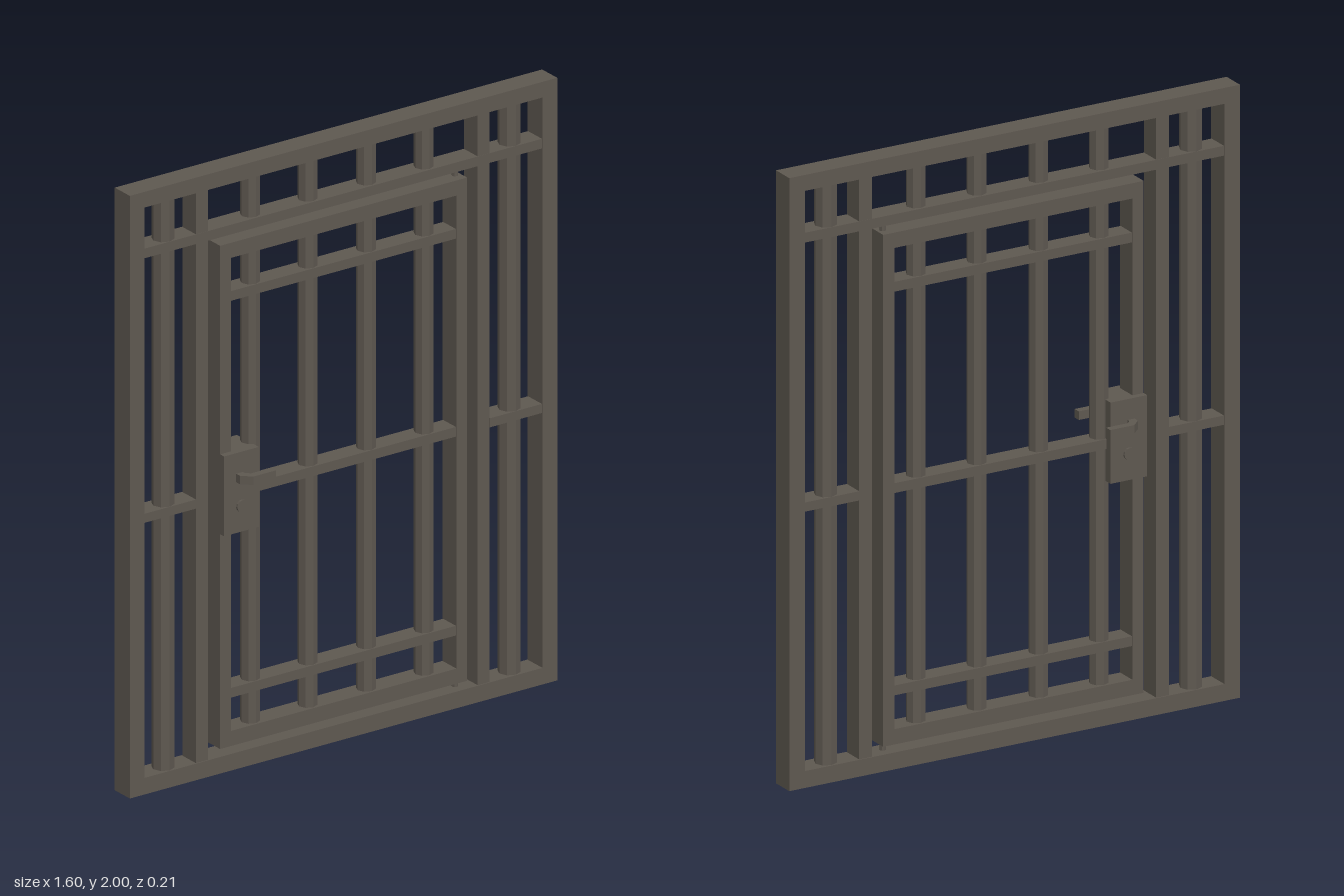
import * as THREE from 'three';

export function createModel() {
  const model = new THREE.Group();
  model.name = 'barredGate';
  const steel = new THREE.MeshStandardMaterial({ color: 0x5e5850, flatShading: true });

  const add = (parent, name, geometry, x = 0, y = 0, z = 0) => {
    const mesh = new THREE.Mesh(geometry, steel);
    mesh.name = name;
    mesh.position.set(x, y, z);
    parent.add(mesh);
    return mesh;
  };
  // Box from its x and y limits and half depth
  const bar = (parent, name, x0, x1, y0, y1, d) =>
    add(parent, name, new THREE.BoxGeometry(x1 - x0, y1 - y0, 2 * d), (x0 + x1) / 2, (y0 + y1) / 2);
  // Upright eight-sided rod
  const rod = (parent, name, x, y0, y1, r) =>
    add(parent, name, new THREE.CylinderGeometry(r, r, y1 - y0, 8), x, (y0 + y1) / 2);
  const group = (name) => {
    const g = new THREE.Group();
    g.name = name;
    model.add(g);
    return g;
  };
  const rodXs = [-0.322, -0.107, 0.112, 0.328];

  // Fixed outer frame
  const frame = group('outerFrame');
  bar(frame, 'topBeam', -0.8, 0.8, 1.948, 2, 0.04);
  bar(frame, 'bottomBeam', -0.8, 0.8, 0, 0.055, 0.04);
  bar(frame, 'upperRail', -0.745, 0.745, 1.778, 1.81, 0.037);
  for (const s of [-1, 1]) {
    const span = (a, b) => (s > 0 ? [a, b] : [-b, -a]);
    bar(frame, 'sidePost', ...span(0.745, 0.8), 0.055, 1.948, 0.04);
    bar(frame, 'innerPost', ...span(0.505, 0.55), 0.055, 1.948, 0.036);
    bar(frame, 'sideMiddleRail', ...span(0.55, 0.745), 0.9, 0.93, 0.037);
    rod(frame, 'sideRod', s * 0.648, 0.055, 1.948, 0.036);
  }
  for (const x of rodXs) rod(frame, 'upperRod', x, 1.81, 1.948, 0.031);

  // Hinged door
  const door = group('door');
  bar(door, 'doorTop', -0.46, 0.465, 1.7, 1.75, 0.037);
  bar(door, 'doorBottom', -0.46, 0.465, 0.08, 0.13, 0.037);
  bar(door, 'latchStile', -0.46, -0.42, 0.13, 1.7, 0.037);
  bar(door, 'hingeStile', 0.425, 0.465, 0.13, 1.7, 0.037);
  for (const y of [0.255, 0.915, 1.572]) bar(door, 'doorRail', -0.42, 0.425, y - 0.016, y + 0.016, 0.034);
  for (const x of rodXs) rod(door, 'doorRod', x, 0.13, 1.7, 0.031);
  // Pivot pins above and below the door
  rod(door, 'upperHingePin', 0.445, 1.74, 1.78, 0.01);
  rod(door, 'lowerHingePin', 0.445, 0.05, 0.09, 0.01);

  // Lock case with a bent lever and a key cylinder on each face
  const lock = group('lock');
  bar(lock, 'lockCase', -0.46, -0.33, 0.793, 1.058, 0.058);
  const profile = new THREE.Shape([
    [-0.415, 0.05], [-0.415, 0.078], [-0.385, 0.107], [-0.3, 0.107],
    [-0.3, 0.082], [-0.376, 0.082], [-0.39, 0.069], [-0.39, 0.05],
  ].map(([x, z]) => new THREE.Vector2(x, z)));
  const lever = new THREE.ExtrudeGeometry(profile, { depth: 0.028, bevelEnabled: false });
  lever.translate(0, 0, -0.014).rotateX(Math.PI / 2);
  const disc = new THREE.CylinderGeometry(0.02, 0.02, 0.016, 12).rotateX(Math.PI / 2);
  for (const s of [1, -1]) {
    add(lock, 'leverHandle', lever, 0, 0.976, 0).rotation.x = s > 0 ? 0 : Math.PI;
    add(lock, 'keyCylinder', disc, -0.395, 0.88, s * 0.057);
  }
  return model;
}
